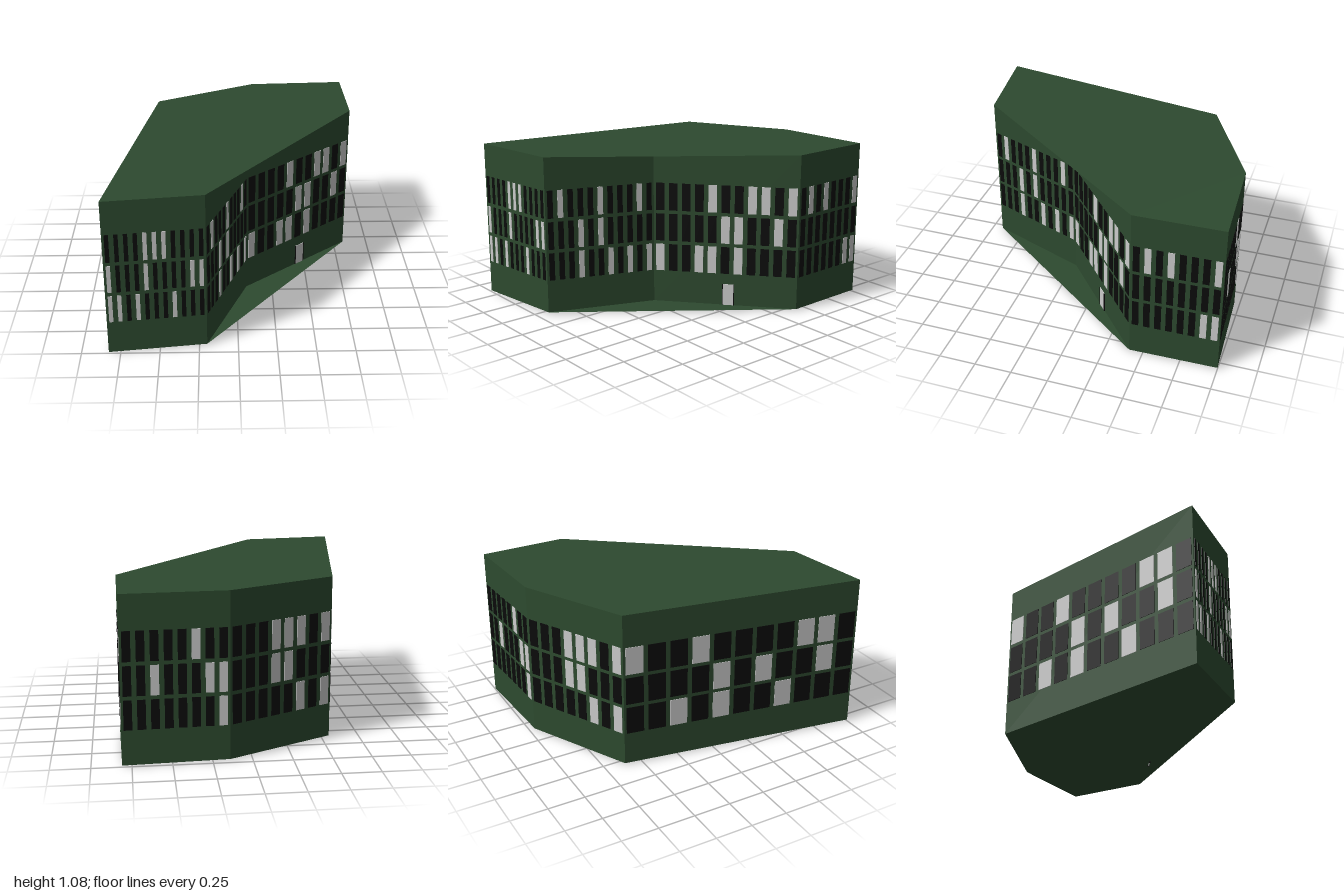
import * as THREE from 'three';

const BASE = 0.01, TOP = 1.08;
const ROWS = [0.33, 0.545, 0.76]; // window centre heights, lowest storey first
const WIN_H = 0.19, GAP = 0.031;

// Each wall runs from its corner to the next one: window count and lit windows per storey
const WALLS = [
  { at: [-0.825, 1.0], count: 11, lit: [[0, 1, 3, 7], [0, 4, 9, 10], [4, 5, 6]] },
  { at: [-0.2, 0.92], count: 11, lit: [[3, 6, 8, 10], [3, 5], [1, 5, 9]] },
  { at: [0.07, 0.225], count: 11, lit: [[0, 3, 4, 6], [5, 6, 9], [4, 7, 8, 10]], inner: true, door: true },
  { at: [0.82, -0.41], count: 8, lit: [[6, 7], [], [1, 3, 7]] },
  { at: [0.81, -1.0], count: 8, lit: [[7], [2, 6, 7], [5]] },
  { at: [0.14, -0.965], count: 8, lit: [[5, 7], [3, 4], [3, 4, 5, 7]] },
  { at: [-0.55, -0.615], count: 11, lit: [[2, 4, 7], [4, 6, 9], [0, 3, 8, 9]] },
];

export function createModel() {
  const model = new THREE.Group();
  model.name = 'building';
  const green = new THREE.MeshStandardMaterial({ color: 0x2d4a2f, side: THREE.DoubleSide });
  const dark = new THREE.MeshStandardMaterial({ color: 0x0b0b0b });
  const light = new THREE.MeshStandardMaterial({ color: 0xcccccc });

  const add = (parent, name, geometry, material, x, y, z = 0) => {
    const mesh = new THREE.Mesh(geometry, material);
    mesh.name = name;
    mesh.position.set(x, y, z);
    parent.add(mesh);
  };

  // Roof and floor span straight across the recessed front corner
  const outline = WALLS.filter((w) => !w.inner).map(({ at: [x, z] }) => new THREE.Vector2(x, -z));
  const slab = new THREE.ShapeGeometry(new THREE.Shape(outline)).rotateX(-Math.PI / 2);
  add(model, 'roof', slab, green, 0, TOP);
  add(model, 'floor', slab, green, 0, BASE);

  WALLS.forEach(({ at: [x0, z0], count, lit, door }, i) => {
    const [x1, z1] = WALLS[(i + 1) % WALLS.length].at;
    const length = Math.hypot(x1 - x0, z1 - z0);

    // Local frame: x along the wall, z outward
    const side = new THREE.Group();
    side.name = `side${i + 1}`;
    side.position.set(x0, 0, z0);
    side.rotation.y = -Math.atan2(z1 - z0, x1 - x0);
    model.add(side);

    add(side, 'wall', new THREE.PlaneGeometry(length, TOP - BASE), green, length / 2, (TOP + BASE) / 2);

    // Three storeys of evenly spaced windows, some of them lit
    const cell = length / count;
    const pane = new THREE.BoxGeometry(cell - GAP, WIN_H, 0.006);
    ROWS.forEach((y, row) => {
      for (let k = 0; k < count; k++) {
        const on = lit[row].includes(k);
        add(side, on ? 'litWindow' : 'darkWindow', pane, on ? light : dark, (k + 0.5) * cell, y);
      }
    });

    // Entrance door between two slim jambs that reach the ground
    if (door) {
      const x = length * 0.525;
      add(side, 'door', new THREE.BoxGeometry(0.076, 0.155, 0.008), light, x, 0.0825);
      for (const s of [-1, 1]) {
        add(side, 'doorJamb', new THREE.BoxGeometry(0.005, 0.16, 0.012), dark, x + s * 0.039, 0.08);
      }
    }
  });

  return model;
}
